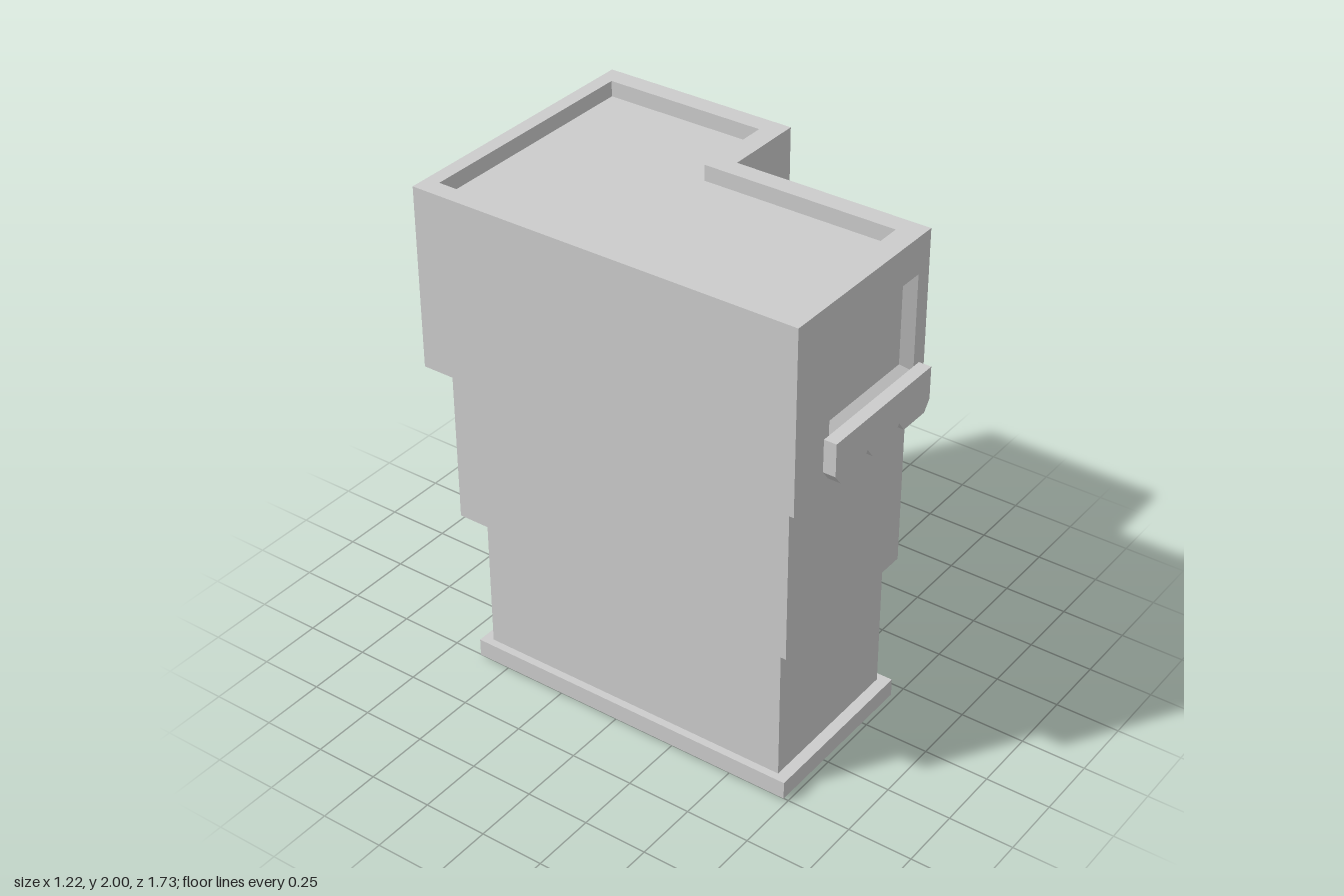
import * as THREE from 'three';

const material = new THREE.MeshStandardMaterial({ color: 0xcccccc, flatShading: true, side: THREE.DoubleSide });

// L-shaped plan as [x, z] corners: back-left, front-left, wing corner, notch, side corner, back corner
const plan = (left, back, front, right = 0.47, wing = 0.15, notch = 0.055) => [
  [left, back], [left, front], [wing, front], [wing, notch], [right, notch], [right, back]];
const FRONT = 1, WING = 2, SIDE = 4; // segment numbers in the plan

const plinth = plan(-0.515, -0.62, 0.74, 0.5, 0.18, 0.08);
const floor1 = plan(-0.485, -0.58, 0.695);
const floor2 = plan(-0.545, -0.65, 0.755);
const floor3 = plan(-0.61, -0.715, 0.815);
const rim = plan(-0.54, -0.66, 0.728, 0.395, 0.075, -0.025);

function mesh(name, geometry) {
  const m = new THREE.Mesh(geometry, material);
  m.name = name;
  return m;
}

// Mesh from four-cornered faces
function quadMesh(name, quads) {
  const positions = quads.flatMap(([a, b, c, d]) => [a, b, c, a, c, d].flat());
  const g = new THREE.BufferGeometry();
  g.setAttribute('position', new THREE.Float32BufferAttribute(positions, 3));
  g.computeVertexNormals();
  return mesh(name, g);
}

// Band of faces joining two plans at two heights
function band(name, low, y0, high, y1, skip = []) {
  const quads = [];
  low.forEach((p, i) => {
    if (skip.includes(i)) return;
    const j = (i + 1) % low.length, q = low[j], r = high[j], s = high[i];
    quads.push([[p[0], y0, p[1]], [q[0], y0, q[1]], [r[0], y1, r[1]], [s[0], y1, s[1]]]);
  });
  return quadMesh(name, quads);
}

const shapeOf = (points) => new THREE.Shape(points.map(([x, y]) => new THREE.Vector2(x, y)));

// Horizontal slab filling a plan
function slab(name, outline, y) {
  const g = new THREE.ShapeGeometry(shapeOf(outline.map(([x, z]) => [x, -z])));
  g.rotateX(-Math.PI / 2).translate(0, y, 0);
  return mesh(name, g);
}

// Flat wall with recessed openings [name, u0, u1, y0, y1, inset]
function wall(name, points, openings) {
  const group = new THREE.Group();
  group.name = name;
  const shape = shapeOf(points);
  for (const [label, u0, u1, y0, y1, inset] of openings) {
    const rect = (i, z) => [[u0 + i, y0 + i, z], [u1 - i, y0 + i, z], [u1 - i, y1 - i, z], [u0 + i, y1 - i, z]];
    const outer = rect(0, 0), inner = rect(inset, -0.04);
    shape.holes.push(new THREE.Path(outer.map(([x, y]) => new THREE.Vector2(x, y))));
    const quads = outer.map((p, i) => {
      const j = (i + 1) % 4;
      return [p, outer[j], inner[j], inner[i]];
    });
    group.add(quadMesh(label, [...quads, inner]));
  }
  group.add(mesh(name + 'Surface', new THREE.ShapeGeometry(shape)));
  return group;
}

// Hanging flower box with chamfered corners and two notches along its bottom edge
function planter() {
  const w = 0.283, top = 1.51, low = 1.345;
  const pts = [[-w, top], [-w, low + 0.04], [-w + 0.03, low]];
  for (const c of [-0.095, 0.095]) pts.push([c - 0.032, low], [c, low + 0.042], [c + 0.032, low]);
  pts.push([w - 0.03, low], [w, low + 0.04], [w, top]);
  return mesh('planter', new THREE.ExtrudeGeometry(shapeOf(pts), { depth: 0.048, bevelEnabled: false }));
}

function box(name, x0, x1, y0, y1, z0, z1) {
  const m = mesh(name, new THREE.BoxGeometry(x1 - x0, y1 - y0, z1 - z0));
  m.position.set((x0 + x1) / 2, (y0 + y1) / 2, (z0 + z1) / 2);
  return m;
}

export function createModel() {
  const model = new THREE.Group();
  model.name = 'building';

  // Open-bottomed plinth and three storeys, each overhanging the one below
  model.add(
    band('plinth', plinth, 0.02, plinth, 0.09),
    band('plinthLedge', plinth, 0.09, floor1, 0.09),
    band('firstStorey', floor1, 0.09, floor1, 0.66, [WING, SIDE]),
    slab('firstCeiling', floor1, 0.66),
    band('secondOverhang', floor1, 0.66, floor2, 0.66, [WING, SIDE]),
    band('secondStorey', floor2, 0.66, floor2, 1.3, [WING, SIDE]),
    band('thirdOverhang', floor2, 1.3, floor3, 1.3, [WING, SIDE]),
    band('thirdStorey', floor3, 1.3, floor3, 2, [FRONT, WING, SIDE]),
    band('parapetTop', floor3, 2, rim, 2),
    band('parapetInside', rim, 2, rim, 1.94),
    slab('roof', rim, 1.94));

  // Front wall of the top storey
  const front = wall('frontWall', [[-0.61, 1.3], [0.15, 1.3], [0.15, 2], [-0.61, 2]],
    [['frontWindow', -0.42, 0.085, 1.49, 1.86, 0.027]]);
  front.position.z = 0.815;

  // Wing wall: one window per storey (u runs along -z)
  const wing = wall('wingWall',
    [[-0.695, 0.09], [-0.055, 0.09], [-0.055, 2], [-0.815, 2], [-0.815, 1.3], [-0.755, 1.3], [-0.755, 0.66], [-0.695, 0.66]],
    [0.21, 0.85, 1.49].map((y) => ['wingWindow', -0.51, -0.24, y, y + 0.373, 0.027]));
  wing.rotation.y = Math.PI / 2;
  wing.position.x = 0.15;

  // Side wall with the door and two windows
  const side = wall('sideWall',
    [[-0.055, 0.09], [0.58, 0.09], [0.58, 0.66], [0.65, 0.66], [0.65, 1.3], [0.715, 1.3], [0.715, 2], [-0.055, 2]],
    [['door', 0.14, 0.38, 0.093, 0.41, 0.008],
      ['sideWindow', 0.125, 0.4, 0.85, 1.223, 0.027],
      ['sideTopWindow', 0.02, 0.505, 1.49, 1.86, 0.027]]);
  side.rotation.y = Math.PI / 2;
  side.position.x = 0.47;
  model.add(front, wing, side);

  // Planters under the two wide windows
  const frontPlanter = planter();
  frontPlanter.position.set(-0.165, 0, 0.815);
  const sidePlanter = planter();
  sidePlanter.rotation.y = Math.PI / 2;
  sidePlanter.position.set(0.47, 0, -0.28);
  model.add(frontPlanter, sidePlanter);

  // Hanging sign board on two brackets
  model.add(box('signBoard', 0.522, 0.553, 0.7, 1.19, -0.863, -0.52));
  for (const y of [0.76, 1.093]) model.add(box('signBracket', 0.47, 0.553, y, y + 0.033, -0.52, -0.485));

  // Door steps: two stringers and two treads
  const stringer = shapeOf([[0.5, 0.105], [0.535, 0.105], [0.605, 0.04], [0.605, 0.005], [0.53, 0.07], [0.5, 0.07]]);
  for (const z of [-0.402, -0.142]) {
    const m = mesh('stepStringer', new THREE.ExtrudeGeometry(stringer, { depth: 0.012, bevelEnabled: false }));
    m.position.z = z;
    model.add(m);
  }
  model.add(
    box('stepTread', 0.53, 0.547, 0.07, 0.085, -0.39, -0.142),
    box('stepTread', 0.562, 0.579, 0.045, 0.06, -0.39, -0.142));

  return model;
}
